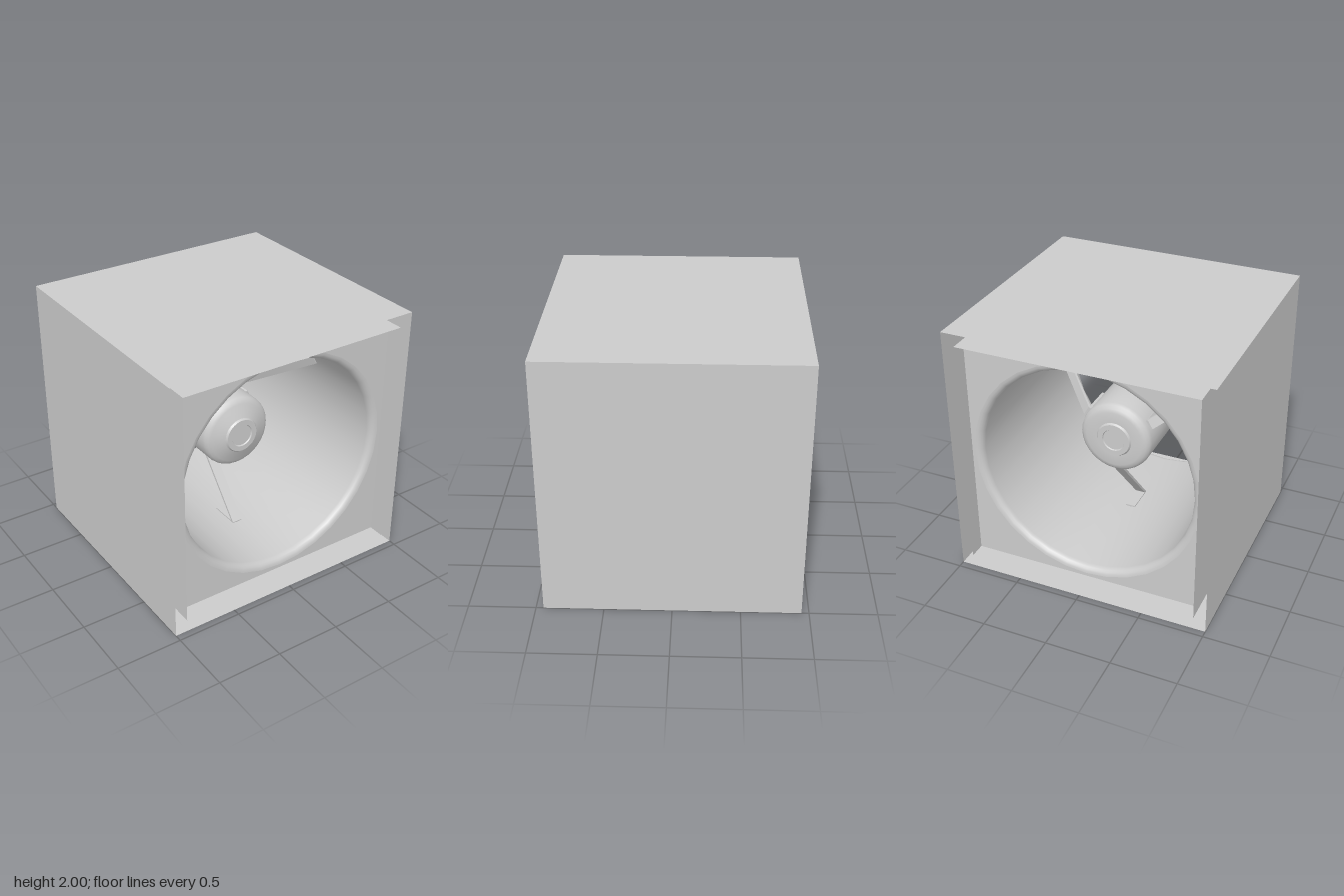
import * as THREE from 'three';
import { toCreasedNormals } from 'three/addons/utils/BufferGeometryUtils.js';

const DEPTH = 1.89, PANEL_Z = 0.82, SIDES = 32;
const solid = new THREE.MeshStandardMaterial({ color: 0xcccccc });
const sheet = new THREE.MeshStandardMaterial({ color: 0xcccccc, side: THREE.DoubleSide });

function add(parent, name, geometry, material = solid) {
  const mesh = new THREE.Mesh(geometry, material);
  mesh.name = name;
  parent.add(mesh);
  return mesh;
}

// Open square duct made of four sheets
function squareDuct(parent, name, half) {
  const duct = new THREE.Group();
  duct.name = name;
  for (let i = 0; i < 4; i++) {
    const wall = new THREE.PlaneGeometry(half * 2, DEPTH);
    wall.rotateX(-Math.PI / 2).translate(0, half, 0).rotateZ(i * Math.PI / 2);
    add(duct, name + 'Wall', wall, sheet);
  }
  parent.add(duct);
}

// Surface of revolution about z, from [radius, z] pairs
function turned(points, crease) {
  const g = new THREE.LatheGeometry(points.map(([r, z]) => new THREE.Vector2(r, z)), SIDES);
  g.rotateX(Math.PI / 2);
  return toCreasedNormals(g, crease);
}

export function createModel() {
  const root = new THREE.Group();
  root.name = 'ductFan';
  const model = new THREE.Group();
  model.name = 'fanUnit';
  model.position.y = 1;
  root.add(model);

  // Casing and inner lining
  squareDuct(model, 'casing', 1);
  squareDuct(model, 'lining', 0.905);

  // End panels with round openings
  const panel = new THREE.Shape();
  panel.moveTo(-0.905, -0.905).lineTo(0.905, -0.905).lineTo(0.905, 0.905).lineTo(-0.905, 0.905).closePath();
  const ring = [];
  for (let i = 0; i < SIDES; i++) {
    const a = i / SIDES * Math.PI * 2;
    ring.push(new THREE.Vector2(Math.cos(a) * 0.88, Math.sin(a) * 0.88));
  }
  panel.holes.push(new THREE.Path(ring));
  for (const side of [1, -1]) {
    const g = new THREE.ShapeGeometry(panel);
    if (side < 0) g.rotateY(Math.PI);
    add(model, side > 0 ? 'frontPanel' : 'backPanel', g.translate(0, 0, side * PANEL_Z), sheet);
  }

  // Round air tunnel with flared mouths
  const tunnel = [];
  for (const side of [1, -1]) {
    for (let i = 0; i <= 5; i++) {
      const a = (side > 0 ? i : 5 - i) / 5 * Math.PI / 2;
      tunnel.push([0.88 - 0.055 * Math.sin(a), side * (PANEL_Z - 0.055 * (1 - Math.cos(a)))]);
    }
  }
  add(model, 'airTunnel', turned(tunnel, 0.9), sheet);

  // Motor housing with domed front and flatter rounded back
  add(model, 'motor', turned([
    [0, -0.295], [0.085, -0.295], [0.09, -0.305], [0.13, -0.305], [0.14, -0.29],
    [0.225, -0.29], [0.255, -0.28], [0.277, -0.26], [0.285, -0.23],
    [0.285, 0.2], [0.279, 0.225], [0.265, 0.243], [0.24, 0.255],
    [0.14, 0.295], [0.13, 0.31], [0.09, 0.31], [0.085, 0.3], [0, 0.3],
  ], 0.6));

  // Three slanted brackets: hub tab, arm and outer foot in one folded strip
  const strip = new THREE.Shape();
  strip.moveTo(0.28, 0.03);
  for (const [r, z] of [[0.28, -0.215], [0.3, -0.215], [0.812, 0.23], [0.812, 0.02],
    [0.828, 0.02], [0.828, 0.255], [0.815, 0.255], [0.298, -0.19], [0.298, 0.03]]) strip.lineTo(r, z);
  strip.closePath();
  for (let i = 0; i < 3; i++) {
    const g = new THREE.ExtrudeGeometry(strip, { depth: 0.08, bevelEnabled: false });
    g.translate(0, 0, -0.04).rotateX(Math.PI / 2);
    add(model, 'bracket', g).rotation.z = Math.PI / 6 + i * Math.PI * 2 / 3;
  }
  return root;
}
